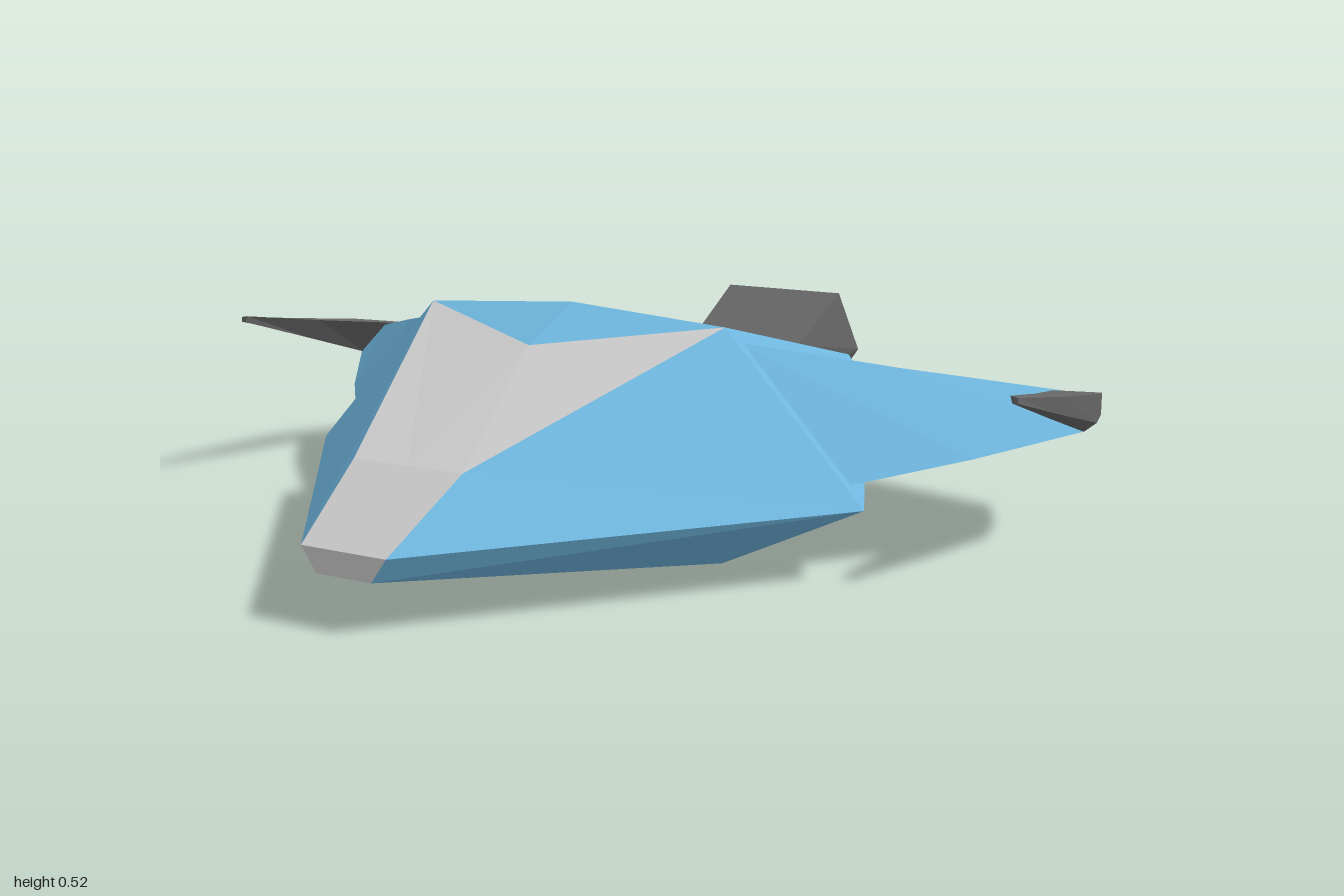
import * as THREE from 'three';

const paint = (color) => new THREE.MeshStandardMaterial({ color, flatShading: true });
const BLUE = paint(0x70b8e0), GREY = paint(0xcccccc), DARK = paint(0x686868);

// Flat-faced mesh from convex polygons (counter-clockwise from outside)
function facets(name, polys, material) {
  const pos = [];
  for (const p of polys)
    for (let i = 1; i < p.length - 1; i++) pos.push(...p[0], ...p[i], ...p[i + 1]);
  const geo = new THREE.BufferGeometry();
  geo.setAttribute('position', new THREE.Float32BufferAttribute(pos, 3));
  geo.computeVertexNormals();
  const mesh = new THREE.Mesh(geo, material);
  mesh.name = name;
  return mesh;
}

// Polygons joining equal-length loops, with optional end caps
function loft(loops, capStart = true, capEnd = true) {
  const polys = [];
  for (let i = 0; i < loops.length - 1; i++) {
    const a = loops[i], b = loops[i + 1], n = a.length;
    for (let j = 0; j < n; j++) polys.push([a[j], a[(j + 1) % n], b[(j + 1) % n], b[j]]);
  }
  if (capStart) polys.push([...loops[0]].reverse());
  if (capEnd) polys.push(loops[loops.length - 1]);
  return polys;
}

const flip = ([x, y, z]) => [-x, y, z];
const mirror = (polys) => polys.map((p) => p.map(flip).reverse());
const both = (polys) => [...polys, ...mirror(polys)];
const centre = ([, y, z]) => [0, y, z];

export function createModel() {
  const group = new THREE.Group();

  // Hull corners: widest section, nose and canopy
  const keel = [0.37, 0.005, 0.15], side = [0.69, 0.16, 0.15];
  const shoulder = [0.37, 0.505, 0.15], crest = [0, 0.53, 0.15];
  const brow = [0, 0.46, 0.32], bend = [0.13, 0.285, 0.74];
  const nose = [0.1, 0.16, 0.94], chin = [0.065, 0.11, 0.94];

  // Rear hull tapers to the tail
  const ring = (k, s, t, c) => [k, s, t, c, flip(t), flip(s), flip(k)];
  group.add(facets('rearHull', loft([
    ring([0.11, 0.145, -0.83], [0.235, 0.21, -0.86], [0.17, 0.28, -0.885], [0, 0.283, -0.885]),
    ring(keel, side, shoulder, crest),
  ], true, false), BLUE));

  // Front hull: lower flank, upper flank, brow and belly
  group.add(facets('frontHull', both([
    [side, nose, chin, keel],
    [side, shoulder, bend, nose],
    [crest, brow, shoulder],
    [centre(keel), keel, chin, centre(chin)],
  ]), BLUE));

  // Canopy runs down over the nose
  group.add(facets('canopy', both([
    [brow, centre(bend), bend, shoulder],
    [centre(bend), centre(nose), nose, bend],
    [centre(nose), centre(chin), chin, nose],
  ]), GREY));

  // Wing sections from root to tip: upper front, lower front, lower rear, upper rear
  const wing = loft([
    [[0.37, 0.47, 0.11], [0.63, 0.195, 0.11], [0.2, 0.245, -0.82], [0.18, 0.27, -0.82]],
    [[0.645, 0.405, -0.12], [0.815, 0.23, -0.115], [0.54, 0.262, -0.72], [0.53, 0.285, -0.72]],
    [[0.9, 0.34, -0.35], [0.97, 0.265, -0.34], [0.895, 0.28, -0.63], [0.89, 0.29, -0.63]],
  ]);

  // Forward-swept blade on each wing tip: inner upper, inner lower, outer lower, outer upper
  const blade = loft([
    [[0.888, 0.296, -0.63], [0.89, 0.282, -0.63], [0.897, 0.283, -0.63], [0.897, 0.296, -0.63]],
    [[0.893, 0.322, -0.47], [0.93, 0.272, -0.47], [0.965, 0.28, -0.47], [0.965, 0.328, -0.47]],
    [[0.898, 0.346, -0.35], [0.968, 0.263, -0.35], [0.995, 0.285, -0.35], [1, 0.348, -0.35]],
    [[0.935, 0.378, -0.13], [0.967, 0.33, -0.13], [0.993, 0.34, -0.13], [0.998, 0.378, -0.13]],
    [[0.968, 0.415, 0.1], [0.972, 0.4, 0.1], [0.984, 0.4, 0.1], [0.984, 0.412, 0.1]],
  ]);
  for (const [label, turn] of [['left', (p) => p], ['right', mirror]]) {
    group.add(facets(label + 'Wing', turn(wing), BLUE));
    group.add(facets(label + 'WingBlade', turn(blade), DARK));
  }

  // Engine housing with a stepped exhaust recess
  const hex = (t, m, b) => [t, m, b, flip(b), flip(m), flip(t)];
  const rim = hex([0.155, 0.44, -0.85], [0.168, 0.285, -0.945], [0.12, 0.2, -0.92]);
  const inset = (s, d) => rim.map(([x, y, z]) =>
    [x * s, 0.31 + (y - 0.31) * s - 0.52 * d, -0.905 + (z + 0.905) * s + 0.85 * d]);
  const steps = [[0.86, 0], [0.82, 0.015], [0.7, 0.015], [0.66, 0.026], [0.56, 0.026], [0.52, 0.036]];
  group.add(facets('engine', loft([
    hex([0.145, 0.335, -0.64], [0.145, 0.26, -0.78], [0.11, 0.2, -0.86]),
    rim,
    ...steps.map(([s, d]) => inset(s, d)),
  ]), DARK));

  return group;
}
